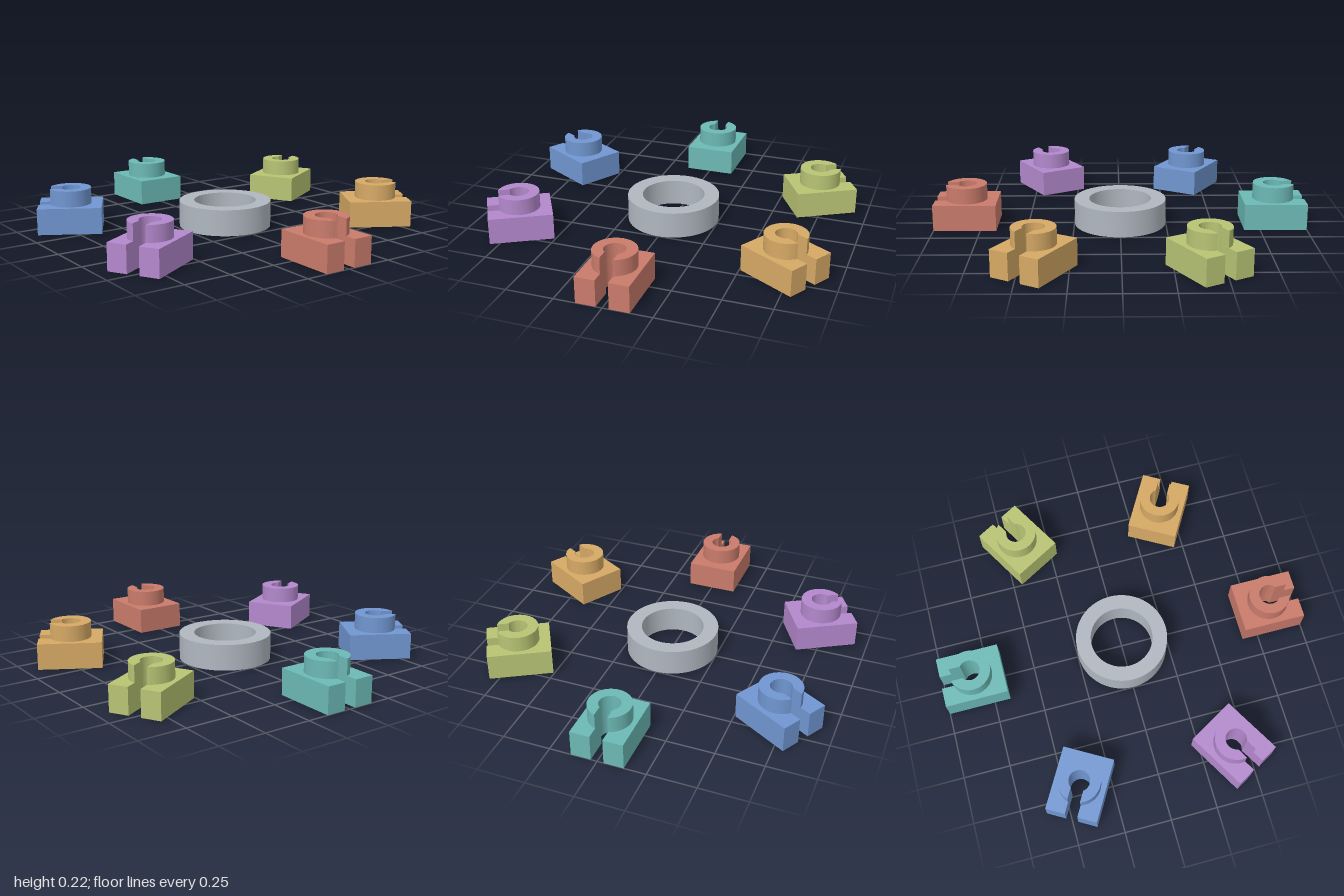
import * as THREE from 'three';
import { toCreasedNormals } from 'three/addons/utils/BufferGeometryUtils.js';

const BLOCK_HEIGHT = 0.14, TOTAL_HEIGHT = 0.225;
const HALF_LENGTH = 0.168, HALF_WIDTH = 0.137;
const BOSS_RADIUS = 0.11, HOLE_RADIUS = 0.055, HALF_SLOT = 0.033;
const ORBIT = 0.832;

// Extrudes a plan outline upwards from y0 to y1, rounding only the curved walls
function extrudeUp(shape, y0, y1) {
  const geometry = new THREE.ExtrudeGeometry(shape, { depth: y1 - y0, bevelEnabled: false, curveSegments: 48 });
  geometry.rotateX(-Math.PI / 2).translate(0, y0, 0);
  return toCreasedNormals(geometry, Math.PI / 6);
}

// Keyhole edge: in along the slot, round the hole, and back out
function cutKeyhole(shape) {
  const a = Math.asin(HALF_SLOT / HOLE_RADIUS);
  shape.absarc(0, 0, HOLE_RADIUS, -a, a, true);
  shape.closePath();
  return shape;
}

function blockShape() {
  const shape = new THREE.Shape();
  shape.moveTo(HALF_LENGTH, HALF_SLOT);
  shape.lineTo(HALF_LENGTH, HALF_WIDTH);
  shape.lineTo(-HALF_LENGTH, HALF_WIDTH);
  shape.lineTo(-HALF_LENGTH, -HALF_WIDTH);
  shape.lineTo(HALF_LENGTH, -HALF_WIDTH);
  shape.lineTo(HALF_LENGTH, -HALF_SLOT);
  return cutKeyhole(shape);
}

function bossShape() {
  const b = Math.asin(HALF_SLOT / BOSS_RADIUS);
  const shape = new THREE.Shape();
  shape.absarc(0, 0, BOSS_RADIUS, b, 2 * Math.PI - b, false);
  return cutKeyhole(shape);
}

function ringShape(outer, inner) {
  const shape = new THREE.Shape().absarc(0, 0, outer, 0, 2 * Math.PI, false);
  shape.holes.push(new THREE.Path().absarc(0, 0, inner, 0, 2 * Math.PI, true));
  return shape;
}

function addMesh(parent, name, geometry, material) {
  const mesh = new THREE.Mesh(geometry, material);
  mesh.name = name;
  parent.add(mesh);
}

export function createModel() {
  const model = new THREE.Group();
  model.name = 'slottedBlockArray';

  // Central ring
  addMesh(model, 'centralRing', extrudeUp(ringShape(0.248, 0.168), 0, BLOCK_HEIGHT),
    new THREE.MeshStandardMaterial({ color: 0xb0b7c0 }));

  // Six slotted blocks around the ring, slots facing outwards
  const blockGeometry = extrudeUp(blockShape(), 0, BLOCK_HEIGHT);
  const bossGeometry = extrudeUp(bossShape(), BLOCK_HEIGHT, TOTAL_HEIGHT);
  const colors = [0xc97b6b, 0xb388cc, 0x7096d1, 0x6cb9b5, 0xb8c474, 0xd6a965];
  colors.forEach((color, i) => {
    const angle = i * Math.PI / 3;
    const unit = new THREE.Group();
    unit.name = `slottedBlock${i + 1}`;
    unit.position.set(ORBIT * Math.cos(angle), 0, ORBIT * Math.sin(angle));
    unit.rotation.y = -angle;
    const material = new THREE.MeshStandardMaterial({ color });
    addMesh(unit, 'block', blockGeometry, material);
    addMesh(unit, 'boss', bossGeometry, material);
    model.add(unit);
  });

  return model;
}
